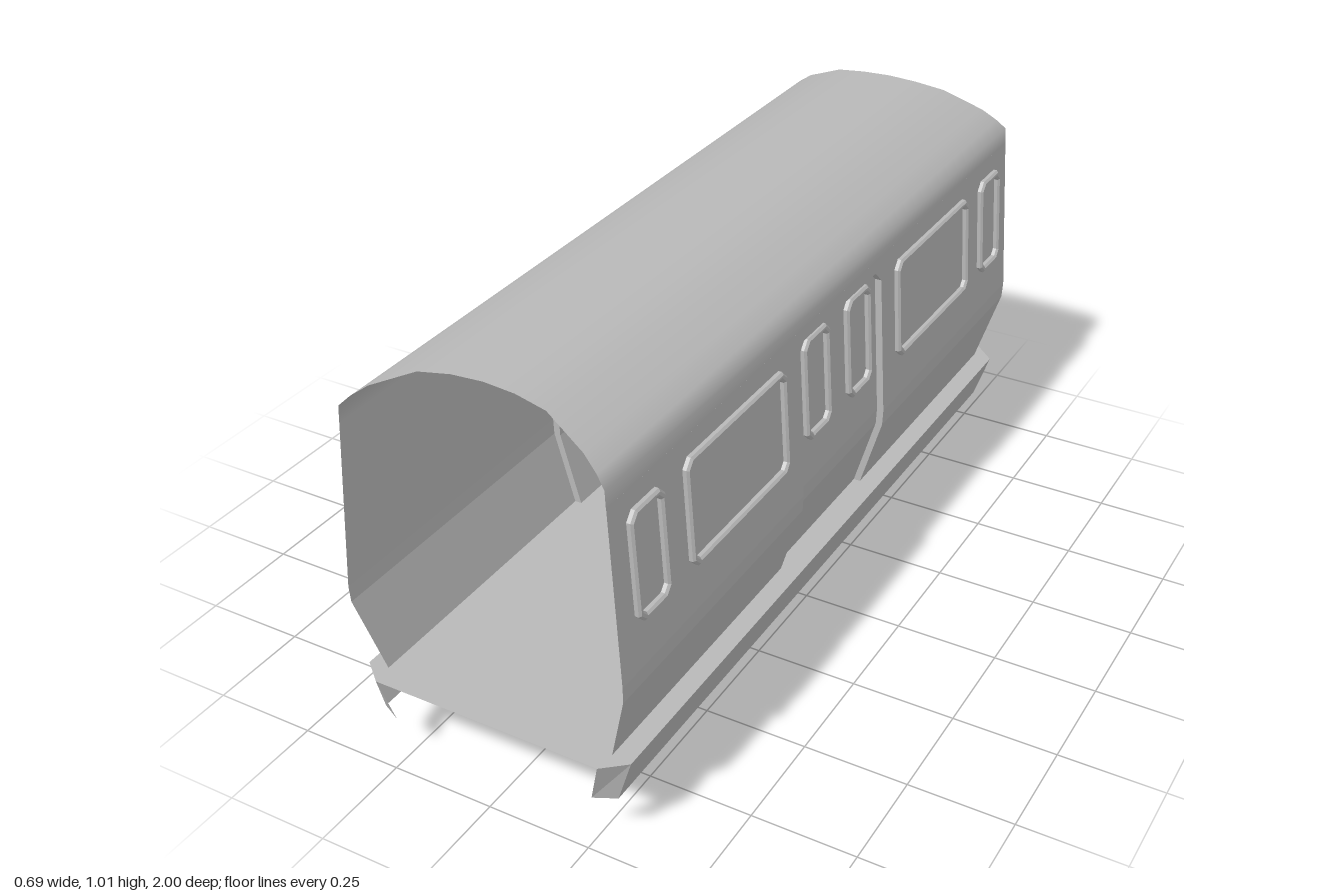
import * as THREE from 'three';

const grey = new THREE.MeshStandardMaterial({ color: 0xb8b8b8, side: THREE.DoubleSide });
grey.name = 'bodyGrey';

function add(parent, name, geometry) {
  const mesh = new THREE.Mesh(geometry, grey);
  mesh.name = name;
  parent.add(mesh);
  return mesh;
}

// Linear interpolation through [height, value] knots
function at(knots, v) {
  let i = 1;
  while (i < knots.length - 1 && v > knots[i][0]) i++;
  const [a, p] = knots[i - 1], [b, q] = knots[i];
  return p + (q - p) * (v - a) / (b - a);
}

// Half width of the side walls and half length of the body, by height
const halfWidth = [[0.23, 0.285], [0.41, 0.337], [0.45, 0.3385], [0.9, 0.31]];
const halfLength = [[0.23, 0.95], [0.41, 0.983], [0.45, 0.985], [0.9, 0.98]];

// Surface through rows of points
function loft(rows, smooth) {
  const n = rows[0].length, index = [];
  for (let r = 0; r < rows.length - 1; r++) {
    for (let i = 0; i < n - 1; i++) {
      const a = r * n + i, b = a + n;
      index.push(a, a + 1, b, b, a + 1, b + 1);
    }
  }
  let g = new THREE.BufferGeometry();
  g.setAttribute('position', new THREE.Float32BufferAttribute(rows.flat(2), 3));
  g.setIndex(index);
  if (!smooth) g = g.toNonIndexed();
  g.computeVertexNormals();
  return g;
}

const shapeOf = pts => new THREE.Shape(pts.map(p => new THREE.Vector2(p[0], p[1])));

// Pushes a flat geometry out onto a wall whose depth depends on height
function bend(geometry, depthAt) {
  const g = geometry.index ? geometry.toNonIndexed() : geometry;
  const p = g.attributes.position;
  for (let i = 0; i < p.count; i++) p.setZ(i, depthAt(p.getY(i)) + Math.max(p.getZ(i), 0));
  g.computeVertexNormals();
  return g;
}

function cutRect(u, w, y0, y1, c) {
  const a = u - w / 2, b = u + w / 2;
  return [[a + c, y0], [b - c, y0], [b, y0 + c], [b, y1 - c],
    [b - c, y1], [a + c, y1], [a, y1 - c], [a, y0 + c]];
}

// Raised window surround with cut corners and a bevelled edge
function windowFrame(u, w, y0, y1, proud) {
  const t = 0.015, bevel = 0.005;
  const shape = shapeOf(cutRect(u, w, y0, y1, 0.02));
  shape.holes.push(shapeOf(cutRect(u, w - 2 * t, y0 + t, y1 - t, 0.014)));
  return new THREE.ExtrudeGeometry(shape, {
    depth: proud - bevel, bevelEnabled: true, bevelSize: bevel,
    bevelThickness: bevel, bevelOffset: -bevel, bevelSegments: 1,
  });
}

// One wall with a recessed doorway and framed windows, facing +z before it is turned
function makeWall(o) {
  const wall = new THREE.Group();
  const { half: d, top: dt, cut: c, depthAt: doorAt } = o.door;
  const outAt = v => at(o.out, v), edge = v => at(o.edge, v);
  for (const s of [1, -1]) {
    const piece = pts => add(wall, 'wallPanel',
      bend(new THREE.ShapeGeometry(shapeOf(pts.map(([u, v]) => [u * s, v]))), outAt));
    for (const [a, b] of [[0.23, 0.41], [0.41, 0.45]]) {
      piece([[d, a], [edge(a), a], [edge(b), b], [d, b]]);
    }
    const upper = [[0, dt], [d - c, dt], [d, dt - c], [d, 0.45],
      [edge(0.45), 0.45], [edge(o.top), o.top], [0, o.top]];
    piece(c ? upper : upper.filter((p, i) => i !== 2));
  }
  // Door leaf, in the same height bands as the wall
  for (const [a, b] of [[0.23, 0.41], [0.41, 0.45]]) {
    add(wall, 'doorPanel', bend(new THREE.ShapeGeometry(
      shapeOf([[-d, a], [d, a], [d, b], [-d, b]])), doorAt));
  }
  const leaf = [[-d, 0.45], [d, 0.45], [d, dt - c], [d - c, dt], [c - d, dt], [-d, dt - c]];
  add(wall, 'doorPanel', bend(new THREE.ShapeGeometry(
    shapeOf(c ? leaf : [leaf[0], leaf[1], leaf[3], leaf[4]])), doorAt));
  // Jambs and header
  const rim = [[d, 0.23], [d, 0.41], [d, 0.45], [d, dt - c], [d - c, dt]];
  const path = [...rim, ...rim.map(([u, v]) => [-u, v]).reverse()];
  add(wall, 'doorJamb', loft([
    path.map(([u, v]) => [u, v, outAt(v)]),
    path.map(([u, v]) => [u, v, doorAt(v)]),
  ], false));
  for (const [u, w, onDoor] of o.windows) {
    for (const s of u ? [1, -1] : [1]) {
      add(wall, 'windowFrame', bend(
        windowFrame(u * s, w, o.sill, o.sill + 0.255, o.proud), onDoor ? doorAt : outAt));
    }
  }
  return wall;
}

export function createModel() {
  const model = new THREE.Group();
  model.name = 'railCar';

  // Side walls
  for (const s of [1, -1]) {
    const side = makeWall({
      out: halfWidth, edge: halfLength, top: 0.86, sill: 0.56, proud: 0.014,
      door: { half: 0.212, top: 0.83, cut: 0.03, depthAt: v => at(halfWidth, v) - 0.017 },
      windows: [[0.857, 0.127], [0.497, 0.427], [0.107, 0.125, true]],
    });
    side.name = s > 0 ? 'leftSide' : 'rightSide';
    side.rotation.y = s * Math.PI / 2;
    model.add(side);
  }

  // Rear wall with its end door; the other end stays open
  const rear = makeWall({
    out: halfLength, edge: halfWidth, top: 0.9, sill: 0.555, proud: 0.016,
    door: { half: 0.105, top: 0.89, cut: 0, depthAt: () => 0.943 },
    windows: [[0.2, 0.13], [0, 0.13, true]],
  });
  rear.name = 'rearWall';
  rear.rotation.y = Math.PI;
  model.add(rear);

  // Roof: half width, height, half length, and where the rear slope meets the wall
  const halfRoof = [[0.3125, 0.86, 0.981], [0.31, 0.9, 0.98, 0.31], [0.287, 0.923, 0.969, 0.275],
    [0.25, 0.95, 0.955, 0.21], [0.15, 0.995, 0.925, 0.105], [0.075, 1.006, 0.917, 0.05]];
  const arc = [...halfRoof, [0, 1.01, 0.915, 0],
    ...halfRoof.map(([x, y, z, b]) => [-x, y, z, -b]).reverse()];
  add(model, 'roof', loft([
    arc.map(([x, y, z]) => [x, y, z]),
    arc.map(([x, y, z]) => [x, y, -z]),
  ], true));
  const cap = arc.slice(1, -1);
  add(model, 'rearRoofSlope', loft([
    cap.map(([x, y, z]) => [x, y, -z]),
    cap.map(p => [p[3], 0.9, -0.98]),
  ], true));

  // Skirt, open at the front, and the floor plate
  const mirror = pts => [...pts, ...pts.map(([x, z]) => [-x, z]).reverse()];
  const skirtTop = mirror([[0.28, 1], [0.333, 0.955], [0.333, -0.945], [0.28, -0.995]]);
  const skirtLow = mirror([[0.25, 0.98], [0.3, 0.955], [0.3, -0.925], [0.25, -0.975]]);
  add(model, 'skirt', loft([
    skirtTop.map(([x, z]) => [x, 0.23, z]),
    skirtLow.map(([x, z]) => [x, 0.123, z]),
  ], false));
  add(model, 'floor', new THREE.ShapeGeometry(shapeOf(skirtTop)).rotateX(Math.PI / 2))
    .position.y = 0.23;

  // Running gear: a long side bar and an eight-sided wheel on each side
  const bar = [[0.39, 0.135], [0.39, 0.085], [0.425, 0.03], [0.785, 0.03], [0.82, 0.06], [0.82, 0.135]];
  for (const end of [1, -1]) {
    const truck = new THREE.Group();
    truck.name = end > 0 ? 'frontTruck' : 'rearTruck';
    truck.rotation.y = end > 0 ? 0 : Math.PI;
    for (const s of [1, -1]) {
      add(truck, 'truckBar', new THREE.ExtrudeGeometry(shapeOf(bar),
        { depth: 0.055, bevelEnabled: false }).rotateY(-Math.PI / 2)).position.x = s > 0 ? 0.22 : -0.165;
      const wheel = new THREE.CylinderGeometry(0.078, 0.078, 0.043, 8, 1, false, Math.PI / 8)
        .rotateZ(Math.PI / 2).toNonIndexed();
      wheel.computeVertexNormals();
      add(truck, 'wheel', wheel).position.set(s * 0.141, 0.072, 0.73);
    }
    model.add(truck);
  }
  return model;
}
